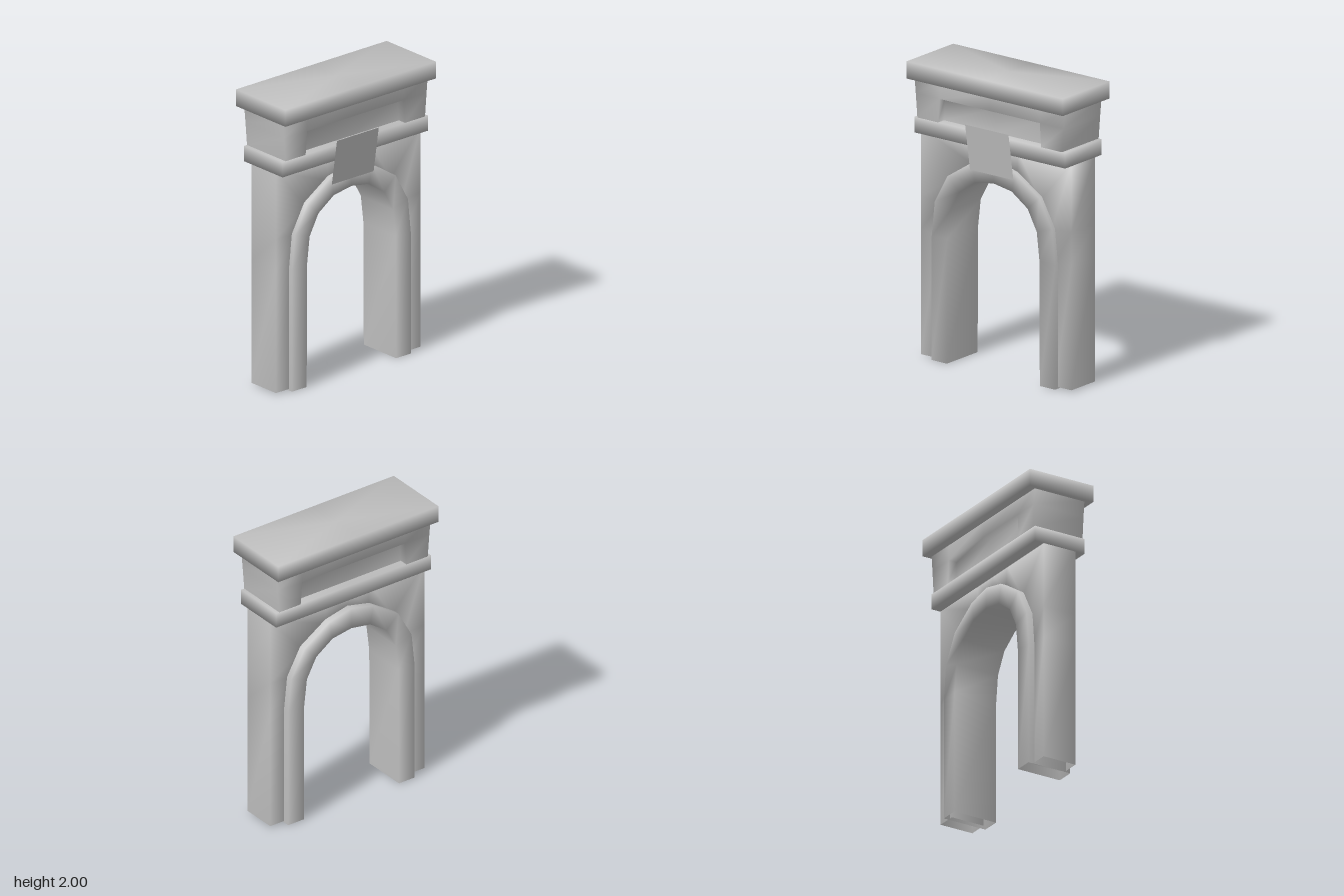
import * as THREE from 'three';
import { mergeVertices } from 'three/addons/utils/BufferGeometryUtils.js';

// Joins closed rings of [x, y, z] points into a smooth shell, optionally capped.
function loft(rings, capStart = false, capEnd = false) {
  const n = rings[0].length;
  const pos = rings.flat(2);
  const index = [];
  for (let i = 0; i < rings.length - 1; i++) {
    for (let j = 0; j < n; j++) {
      const k = (j + 1) % n;
      const a = i * n + j, b = i * n + k;
      index.push(a, b, b + n, a, b + n, a + n);
    }
  }
  const cap = (r, flip) => {
    const c = pos.length / 3;
    pos.push(0, rings[r][0][1], 0);
    for (let j = 0; j < n; j++) {
      const a = r * n + j, b = r * n + (j + 1) % n;
      if (flip) index.push(b, a, c);
      else index.push(a, b, c);
    }
  };
  if (capStart) cap(0, true);
  if (capEnd) cap(rings.length - 1, false);
  let g = new THREE.BufferGeometry();
  g.setAttribute('position', new THREE.Float32BufferAttribute(pos, 3));
  g.setIndex(index);
  g = mergeVertices(g);
  g.computeVertexNormals();
  return g;
}

// Mirrors the stations [innerX, innerY, outerX, outerY] of one half and sweeps them over the arch.
function archShell(half, front, back) {
  const other = half.slice(0, -1).reverse().map(([a, b, c, d]) => [-a, b, -c, d]);
  return loft([...half, ...other].map(([ix, iy, ox, oy]) => [
    [ix, iy, front], [ox, oy, front], [ox, oy, back], [ix, iy, back],
  ]));
}

// Plan outline at height y; recess is the depth of the sunk panel on both long sides.
function plan(y, w, d, panel, recess = 0) {
  const side = [
    [-w, d], [-panel, d], [-panel, d - recess], [0, d - recess],
    [panel, d - recess], [panel, d], [w, d],
  ];
  return [...side, ...side.map(([x, z]) => [-x, -z])].map(([x, z]) => [x, y, z]);
}

// Plain slab outline with a middle point on each long side.
function slab(y, w, d) {
  return [[-w, y, d], [0, y, d], [w, y, d], [w, y, -d], [0, y, -d], [-w, y, -d]];
}

export function createModel() {
  const group = new THREE.Group();
  const stone = new THREE.MeshStandardMaterial({ color: 0xc0c0c0, side: THREE.DoubleSide });
  stone.name = 'grey stone';
  const add = (name, geometry) => {
    const mesh = new THREE.Mesh(geometry, stone);
    mesh.name = name;
    group.add(mesh);
    return mesh;
  };

  // Moulded surround of the opening, open at the feet
  add('archSurround', archShell([
    [0.38, 0, 0.505, 0],
    [0.377, 0.84, 0.505, 0.83],
    [0.355, 1.03, 0.48, 1.07],
    [0.28, 1.17, 0.375, 1.26],
    [0.15, 1.26, 0.175, 1.39],
    [0, 1.285, 0, 1.43],
  ], 0.15, -0.165));

  // Pillars and spandrels behind the surround
  add('pillarsAndSpandrels', archShell([
    [0.48, 0.01, 0.615, 0.01],
    [0.48, 0.83, 0.615, 0.85],
    [0.455, 1.06, 0.615, 1.07],
    [0.36, 1.235, 0.615, 1.53],
    [0.17, 1.36, 0.175, 1.53],
    [0, 1.4, 0, 1.53],
  ], 0.12, -0.12));

  // Band under the frieze
  add('lowerBand', loft([slab(1.515, 0.617, 0.187), slab(1.62, 0.617, 0.188)], true, true));

  // Frieze flaring upwards, with a sunk panel front and back
  add('frieze', loft([
    plan(1.62, 0.592, 0.188, 0.422, 0.06),
    plan(1.78, 0.605, 0.188, 0.41, 0.06),
    plan(1.78, 0.605, 0.188, 0.41),
    plan(1.89, 0.615, 0.188, 0.41),
  ]));

  // Overhanging top slab
  add('topSlab', loft([slab(1.885, 0.64, 0.24), slab(2, 0.64, 0.24)], true, true));

  // Leaning keystone plate over the crown of the arch
  const plate = add('keystonePlate', new THREE.PlaneGeometry(0.355, 0.319));
  plate.position.set(-0.002, 1.503, 0.19);
  plate.rotation.x = Math.atan2(0.05, 0.315);

  return group;
}
